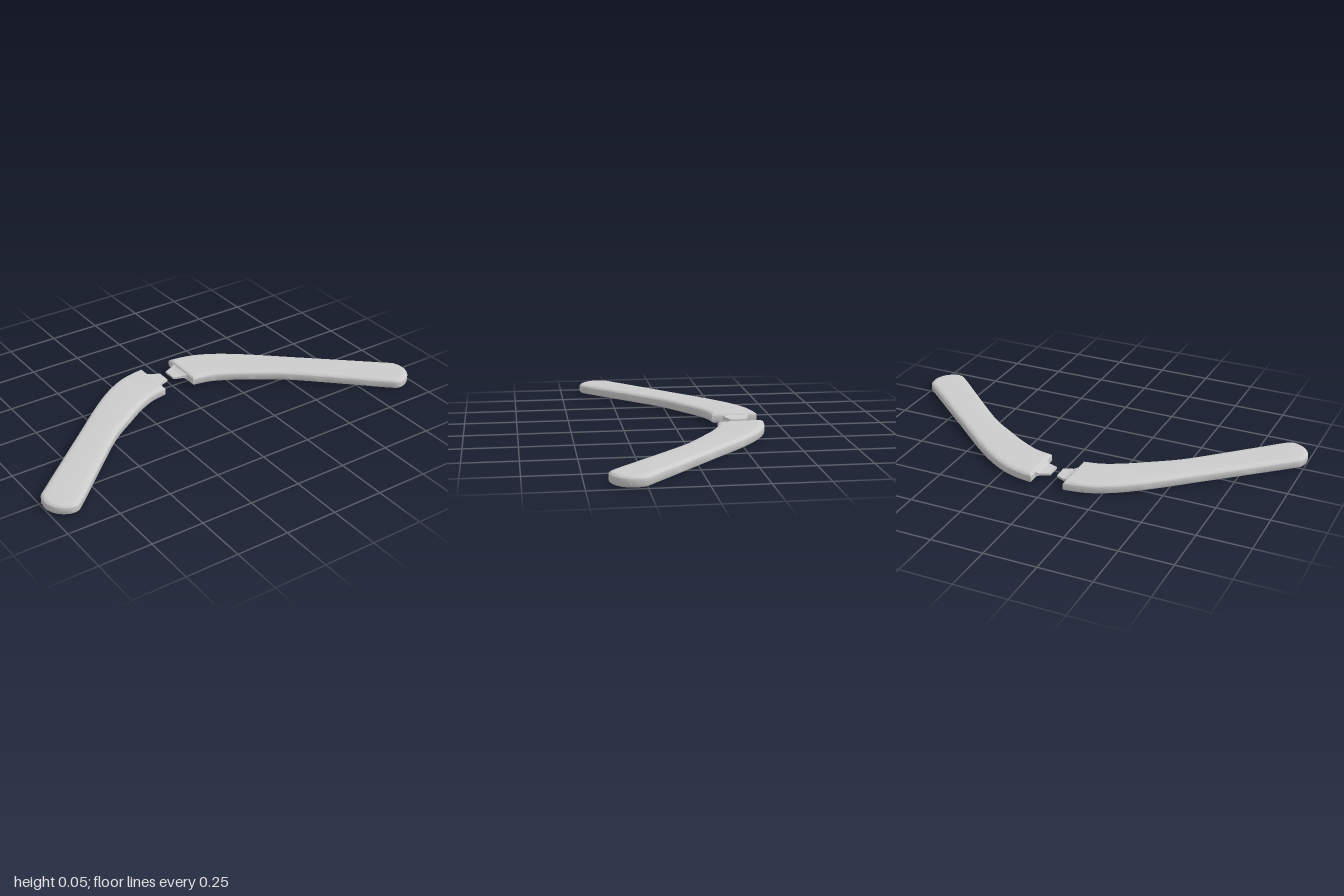
import * as THREE from 'three';
import { toCreasedNormals } from 'three/addons/utils/BufferGeometryUtils.js';

const HEIGHT = 0.054, BEVEL = 0.03, ROUND = 0.015;
const grey = new THREE.MeshStandardMaterial({ color: 0xcccccc });

// Arm outline [x, z]: rear edge outward, around the tip, front edge back in
const OUTLINE = [
  [0.08, -0.405], [0.15, -0.395], [0.22, -0.375], [0.315, -0.325], [0.43, -0.24],
  [0.62, -0.075], [0.81, 0.09], [0.95, 0.213],
  [0.99, 0.25], [1.0, 0.28], [1.0, 0.32], [0.98, 0.362], [0.95, 0.388], [0.92, 0.4],
  [0.89, 0.398], [0.86, 0.375],
  [0.75, 0.272], [0.61, 0.14], [0.476, 0.02], [0.35, -0.065], [0.255, -0.125],
  [0.165, -0.168], [0.08, -0.185],
];

// Tongue stations: [x, rear z, front z, half height]
const TONGUE = [
  [0.017, -0.335, -0.265, 0.005],
  [0.062, -0.354, -0.25, 0.006],
  [0.08, -0.362, -0.238, 0.012],
  [0.11, -0.365, -0.235, 0.012],
];

// Curved flat arm with softly rounded edges
function arm(side) {
  const curve = new THREE.CatmullRomCurve3(
    OUTLINE.map(([x, z]) => new THREE.Vector3(side * x, z, 0)), false, 'centripetal');
  const shape = new THREE.Shape(curve.getPoints(88).map(p => new THREE.Vector2(p.x, p.y)));
  const geo = new THREE.ExtrudeGeometry(shape, {
    depth: HEIGHT - 2 * ROUND, bevelEnabled: true, bevelSize: BEVEL, bevelOffset: -BEVEL,
    bevelThickness: ROUND, bevelSegments: 6,
  });
  geo.rotateX(Math.PI / 2);
  geo.translate(0, HEIGHT - ROUND, 0);
  const mesh = new THREE.Mesh(toCreasedNormals(geo, 0.75), grey);
  mesh.name = 'arm';
  return mesh;
}

// Thin tapered connector at the inner end
function tongue(side) {
  const n = TONGUE.length - 1;
  const box = new THREE.BoxGeometry(n, 1, 1, n, 1, 1);
  const pos = box.attributes.position;
  for (let i = 0; i < pos.count; i++) {
    const column = Math.round(side * pos.getX(i) + n / 2);
    const [x, rear, front, half] = TONGUE[column];
    pos.setXYZ(i, side * x, 0.029 + Math.sign(pos.getY(i)) * half,
      pos.getZ(i) < 0 ? rear : front);
  }
  const geo = box.toNonIndexed();
  geo.computeVertexNormals();
  const mesh = new THREE.Mesh(geo, grey);
  mesh.name = 'tongue';
  return mesh;
}

export function createModel() {
  const model = new THREE.Group();
  model.name = 'armPair';
  for (const side of [1, -1]) {
    const half = new THREE.Group();
    half.name = side > 0 ? 'leftArm' : 'rightArm';
    half.add(arm(side), tongue(side));
    model.add(half);
  }
  return model;
}
